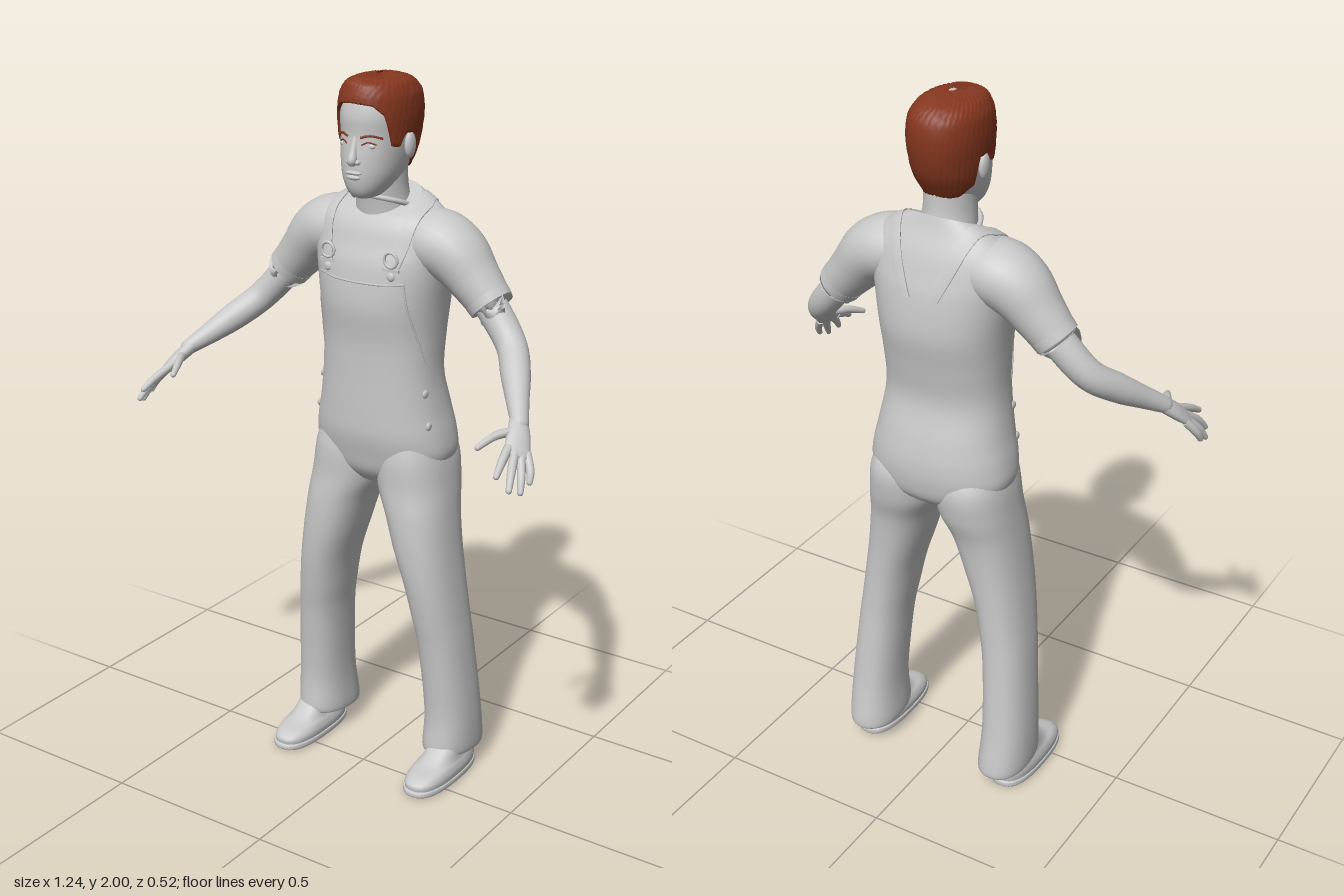
import * as THREE from 'three';

const grey = new THREE.MeshStandardMaterial({ color: 0xc8c8c8 });
grey.name = 'plain grey';
grey.side = THREE.DoubleSide;
const brown = new THREE.MeshStandardMaterial({ color: 0x86371f });
brown.name = 'red brown hair';
brown.side = THREE.DoubleSide;

const V = (x, y, z) => new THREE.Vector3(x, y, z);

// Surface through closed rings of equal length, with flat end caps
function skin(rings, caps = true) {
  const n = rings[0].length, pos = [], idx = [];
  rings.forEach(r => r.forEach(p => pos.push(p.x, p.y, p.z)));
  for (let i = 0; i < rings.length - 1; i++) for (let j = 0; j < n; j++) {
    const a = i * n + j, b = i * n + (j + 1) % n;
    idx.push(a, a + n, b, b, a + n, b + n);
  }
  if (caps) [rings[0], rings[rings.length - 1]].forEach((r, end) => {
    const base = pos.length / 3, c = V(0, 0, 0);
    r.forEach(p => { pos.push(p.x, p.y, p.z); c.addScaledVector(p, 1 / n); });
    pos.push(c.x, c.y, c.z);
    for (let j = 0; j < n; j++) {
      const a = base + j, b = base + (j + 1) % n;
      end ? idx.push(base + n, b, a) : idx.push(base + n, a, b);
    }
  });
  const g = new THREE.BufferGeometry();
  g.setAttribute('position', new THREE.Float32BufferAttribute(pos, 3));
  g.setIndex(idx);
  g.computeVertexNormals();
  return g;
}

// Smooth column-wise interpolation between table rows
function row(rows, t) {
  const i = Math.min(Math.floor(t), rows.length - 2), f = t - i;
  const r = k => rows[Math.max(0, Math.min(rows.length - 1, k))];
  return rows[i].map((b, k) => {
    const a = r(i - 1)[k], c = r(i + 1)[k], d = r(i + 2)[k];
    return b + 0.5 * f * (c - a + f * (2 * a - 5 * b + 4 * c - d + f * (3 * (b - c) + d - a)));
  });
}

// Point on a horizontal superellipse; row = [y, x0, x1, zFront, zBack, frontDrop]
function ringPoint([y, x0, x1, zf, zb, drop = 0], a, n) {
  const e = v => Math.sign(v) * Math.abs(v) ** (2 / n), c = e(Math.cos(a)), s = e(Math.sin(a));
  return V((x0 + x1) / 2 + c * (x1 - x0) / 2, y - drop * s, (zf + zb) / 2 + s * (zf - zb) / 2);
}

function loft(rows, n = 2.2, seg = 40, sub = 5) {
  const rings = [];
  for (let i = 0; i <= (rows.length - 1) * sub; i++) {
    const r = row(rows, i / sub);
    rings.push(Array.from({ length: seg }, (_, j) => ringPoint(r, j / seg * 2 * Math.PI, n)));
  }
  return skin(rings);
}
const sym = rows => rows.map(([y, x, ...rest]) => [y, -x, x, ...rest]);

// Sweep through points [x, y, z, thickness, width]; width lies along ref
function limb(pts, { dome = true, ref = V(0, 0, 1), seg = 16, sub = 5 } = {}) {
  const rows = pts.map(([x, y, z, a, b = a]) => [x, y, z, a, b]), rings = [], m = (rows.length - 1) * sub;
  const at = t => V(...row(rows, Math.max(0, Math.min(rows.length - 1, t))).slice(0, 3));
  const ring = (t, k = 0) => {
    const r = row(rows, t), T = at(t + 0.1).sub(at(t - 0.1)).normalize();
    const A = ref.clone().addScaledVector(T, -T.dot(ref)).normalize(), B = A.clone().cross(T);
    const c = V(r[0], r[1], r[2]).addScaledVector(T, r[3] * Math.sin(k));
    rings.push(Array.from({ length: seg }, (_, j) => {
      const q = j / seg * 2 * Math.PI;
      return c.clone().addScaledVector(A, r[4] * Math.cos(k) * Math.cos(q)).addScaledVector(B, r[3] * Math.cos(k) * Math.sin(q));
    }));
  };
  for (let i = 0; i <= m; i++) ring(i / sub);
  if (dome) [0.4, 0.8, 1.2, 1.5].forEach(k => ring(rows.length - 1, k));
  return skin(rings);
}

function flip(g) {
  const f = g.clone().scale(-1, 1, 1), ix = f.index.array;
  for (let i = 0; i < ix.length; i += 3) [ix[i], ix[i + 1]] = [ix[i + 1], ix[i]];
  f.computeVertexNormals();
  return f;
}

export function createModel() {
  const model = new THREE.Group();
  model.name = 'standing figure';
  const add = (name, geo, mat = grey) => {
    const m = new THREE.Mesh(geo, mat);
    m.name = name;
    model.add(m);
    return m;
  };
  const pair = (name, geo, mat) => {
    add('right' + name, flip(geo), mat);
    return add('left' + name, geo, mat);
  };
  const ray = new THREE.Raycaster();
  const hit = (meshes, from, dir) => {
    ray.set(from, dir);
    const h = ray.intersectObjects(meshes, false)[0];
    return h ? h.point : null;
  };

  // Torso, from seat to shoulders
  const torso = add('torso', loft(sym([
    [0.88, 0.07, -0.03, -0.2, 0], [0.92, 0.17, 0, -0.245, 0], [0.97, 0.205, 0.015, -0.26, 0],
    [1.03, 0.202, 0.028, -0.262, 0], [1.1, 0.187, 0.03, -0.25, 0], [1.2, 0.172, 0.029, -0.226, 0],
    [1.3, 0.172, 0.031, -0.238, 0], [1.4, 0.18, 0.042, -0.255, 0], [1.5, 0.195, 0.032, -0.247, 0],
    [1.56, 0.205, 0.012, -0.232, 0], [1.61, 0.2, -0.004, -0.214, 0.005], [1.65, 0.16, -0.024, -0.19, 0.015],
    [1.675, 0.1, -0.04, -0.175, 0.03],
  ]), 2.3, 56));

  // Trouser legs and shoes
  pair('Trouser', loft([
    [0.065, 0.155, 0.282, -0.045, -0.24, -0.008], [0.08, 0.147, 0.292, -0.032, -0.25, -0.008],
    [0.2, 0.152, 0.29, -0.038, -0.23, 0], [0.4, 0.14, 0.274, -0.02, -0.21, 0], [0.5, 0.125, 0.262, -0.004, -0.205, 0],
    [0.6, 0.105, 0.249, 0.01, -0.205, 0], [0.7, 0.072, 0.236, 0.018, -0.21, 0], [0.8, 0.04, 0.224, 0.018, -0.222, 0],
    [0.88, 0.006, 0.214, 0.012, -0.245, 0], [0.97, 0.004, 0.2, 0.01, -0.25, 0], [1.05, 0.03, 0.17, -0.01, -0.2, 0],
  ], 2.3));
  pair('Shoe', loft([
    [0.015, 0.172, 0.288, 0.088, -0.2], [0.035, 0.17, 0.29, 0.09, -0.203], [0.052, 0.175, 0.286, 0.065, -0.2],
    [0.068, 0.182, 0.28, 0.01, -0.19], [0.11, 0.187, 0.275, -0.05, -0.18],
  ], 2.6));
  pair('Sole', loft([
    [0, 0.174, 0.286, 0.085, -0.2], [0.006, 0.168, 0.292, 0.096, -0.206], [0.018, 0.168, 0.292, 0.096, -0.206],
    [0.021, 0.172, 0.288, 0.09, -0.202],
  ], 2.6));

  // Sleeves with a raised hem, arms and hands
  const sleeve = pair('Sleeve', limb([
    [0.1, 1.57, -0.112, 0.08, 0.09], [0.165, 1.565, -0.114, 0.088, 0.098], [0.22, 1.537, -0.115, 0.084, 0.09],
    [0.272, 1.483, -0.115, 0.07, 0.074], [0.322, 1.428, -0.114, 0.06, 0.061], [0.328, 1.421, -0.113, 0.059, 0.06],
  ], { dome: false, seg: 28 }));
  pair('SleeveHem', limb([[0.311, 1.44, -0.114, 0.063, 0.064], [0.328, 1.421, -0.113, 0.061, 0.062]], { dome: false, seg: 28 }));
  pair('Arm', limb([
    [0.28, 1.47, -0.115, 0.043], [0.335, 1.41, -0.11, 0.044], [0.405, 1.332, -0.087, 0.041],
    [0.455, 1.28, -0.025, 0.039], [0.5, 1.235, 0.04, 0.03], [0.537, 1.2, 0.092, 0.021, 0.024],
  ], { seg: 24 }));
  pair('Palm', limb([
    [0.527, 1.208, 0.08, 0.019, 0.023], [0.549, 1.177, 0.118, 0.018, 0.032],
    [0.565, 1.15, 0.15, 0.014, 0.035], [0.571, 1.142, 0.16, 0.01, 0.032],
  ], { ref: V(0.037, -0.015, -0.04) }));
  [
    ['IndexFinger', [0.547, 1.16, 0.163], [0.558, 1.138, 0.215], [0.566, 1.116, 0.253]],
    ['MiddleFinger', [0.562, 1.15, 0.157], [0.582, 1.113, 0.208], [0.594, 1.08, 0.238]],
    ['RingFinger', [0.573, 1.144, 0.146], [0.598, 1.102, 0.185], [0.609, 1.068, 0.207]],
    ['LittleFinger', [0.582, 1.142, 0.132], [0.605, 1.108, 0.153], [0.612, 1.083, 0.167]],
    ['Thumb', [0.54, 1.187, 0.112], [0.51, 1.183, 0.165], [0.489, 1.163, 0.215]],
  ].forEach(([name, a, b, c]) =>
    pair(name, limb([[...a, 0.012], [...b, 0.011], [...c, 0.008]], { seg: 10 })));

  // Neck, collar and head
  add('neck', loft(sym([[1.58, 0.085, -0.03, -0.175], [1.66, 0.073, -0.02, -0.17], [1.71, 0.067, -0.012, -0.162], [1.77, 0.066, -0.01, -0.16]]), 2));
  const collar = new THREE.TorusGeometry(0.083, 0.007, 8, 40).rotateX(Math.PI / 2 - 0.36);
  add('collar', collar.translate(0, 1.657, -0.098));
  const head = add('head', loft(sym([
    [1.685, 0.02, 0.015, -0.04], [1.693, 0.038, 0.03, -0.07], [1.715, 0.057, 0.042, -0.11], [1.75, 0.073, 0.048, -0.15],
    [1.8, 0.083, 0.047, -0.182], [1.85, 0.088, 0.042, -0.198], [1.9, 0.09, 0.043, -0.2], [1.95, 0.08, 0.028, -0.185],
    [1.98, 0.055, -0.005, -0.15], [1.988, 0.02, -0.05, -0.1],
  ]), 2.2, 48));

  // Facial features
  const oval = (rx, ry, rz, x, y, z) => new THREE.SphereGeometry(1, 16, 12).scale(rx, ry, rz).translate(x, y, z);
  add('nose', limb([[0, 1.85, 0.034, 0.008], [0, 1.815, 0.045, 0.01], [0, 1.79, 0.052, 0.013], [0, 1.785, 0.05, 0.011]], { ref: V(1, 0, 0) }));
  add('upperLip', oval(0.025, 0.006, 0.009, 0, 1.757, 0.045));
  add('lowerLip', oval(0.021, 0.007, 0.009, 0, 1.745, 0.045));
  pair('Nostril', oval(0.009, 0.008, 0.011, 0.013, 1.785, 0.044));
  pair('Eye', oval(0.016, 0.008, 0.008, 0.038, 1.826, 0.026));
  pair('Ear', oval(0.012, 0.034, 0.021, 0.093, 1.82, -0.078));
  const faceLine = (pts, r) => new THREE.TubeGeometry(new THREE.CatmullRomCurve3(
    pts.map(([x, y]) => hit([head], V(x, y, 1), V(0, 0, -1)))), 12, r, 6);
  pair('Eyebrow', faceLine([[0.018, 1.848], [0.04, 1.854], [0.066, 1.846]], 0.0035), brown);
  pair('Eyelash', faceLine([[0.022, 1.83], [0.038, 1.837], [0.055, 1.831]], 0.0022), brown);

  // Short hair: a cap whose lower edge depends on the angle from the front
  const edge = [[0, 1.935], [0.5, 1.93], [0.8, 1.905], [1.05, 1.825], [1.3, 1.82], [1.4, 1.855], [1.72, 1.85], [1.88, 1.78], [2.4, 1.75], [3.15, 1.745]];
  const hairRows = sym([
    [1.74, 0.076, 0.05, -0.155], [1.8, 0.09, 0.05, -0.19], [1.85, 0.096, 0.049, -0.206], [1.9, 0.099, 0.049, -0.212],
    [1.95, 0.093, 0.044, -0.205], [1.98, 0.075, 0.03, -0.178], [1.993, 0.045, 0, -0.135], [1.999, 0.003, -0.07, -0.08],
  ]);
  const pick = (table, v) => {
    let i = 0;
    while (i < table.length - 2 && table[i + 1][0] < v) i++;
    return i + THREE.MathUtils.clamp((v - table[i][0]) / (table[i + 1][0] - table[i][0]), 0, 1);
  };
  const hairRings = [], N = 96, M = 26;
  for (let i = -1; i <= M; i++) hairRings.push(Array.from({ length: N }, (_, j) => {
    const a = j / N * 2 * Math.PI, off = Math.abs(Math.atan2(Math.cos(a), Math.sin(a)));
    const t = pick(edge, off), k = Math.floor(t), low = edge[k][1] + (edge[Math.min(k + 1, edge.length - 1)][1] - edge[k][1]) * (t - k);
    const f = Math.sin(Math.max(i, 0) / M * Math.PI / 2), y = low + (1.998 - low) * f;
    const p = ringPoint(row(hairRows, pick(hairRows, y)), a, 2.2);
    const tuft = i < 0 ? 0.84 : 1 + 0.012 * Math.sin(j * 1.9 + i * 2.3) * Math.cos(j * 0.7 - i * 1.7);
    return V(p.x * tuft, y + (i > 0 && i < M - 2 ? 0.002 * Math.sin(j * 2.7 + i * 1.3) : 0), -0.08 + (p.z + 0.08) * tuft);
  }));
  add('hair', skin(hairRings, false), brown);

  // Dungaree straps laid over the shoulders
  const strapRings = [], body = [torso, sleeve];
  for (let i = 0; i <= 36; i++) {
    const f = i / 36, a = 0.22 + f * 2.75, dir = V(0, Math.sin(a), Math.cos(a));
    const x = f < 0.5 ? 0.1 + 0.03 * Math.sin(f * Math.PI) : 0.13 - 0.09 * (f - 0.5) * 2;
    const [p, q] = [-0.017, 0.017].map(w => hit(body, V(x + w, 1.48, -0.1).addScaledVector(dir, 0.6), dir.clone().negate()));
    if (!p || !q) continue;
    const lift = v => v.clone().addScaledVector(dir, 0.005);
    strapRings.push([p, q, lift(q), lift(p)]);
  }
  pair('Strap', skin(strapRings));

  // Buckles, bib top edge and side buttons
  const front = (x, y) => hit([torso], V(x, y, 1), V(0, 0, -1));
  const b = front(0.1, 1.52);
  pair('BuckleRing', new THREE.TorusGeometry(0.02, 0.004, 8, 20).translate(b.x, b.y + 0.015, b.z + 0.007));
  pair('BuckleBar', new THREE.BoxGeometry(0.05, 0.008, 0.008).translate(b.x, b.y - 0.012, b.z + 0.006));
  pair('BibButton', oval(0.012, 0.012, 0.006, b.x, b.y - 0.03, b.z + 0.007));
  const seam = pts => new THREE.TubeGeometry(new THREE.CatmullRomCurve3(pts.map(p => front(...p))), 24, 0.003, 6);
  add('bibTopEdge', seam([[-0.13, 1.47], [-0.07, 1.466], [0, 1.465], [0.07, 1.466], [0.13, 1.47]]));
  pair('BibSideEdge', seam([[0.13, 1.47], [0.138, 1.4], [0.152, 1.32], [0.163, 1.24]]));
  [1.16, 1.07].forEach(y => {
    const p = hit([torso], V(1, y, -0.05), V(-1, 0, 0));
    pair('SideButton', oval(0.006, 0.012, 0.012, p.x, p.y, p.z));
  });
  return model;
}
